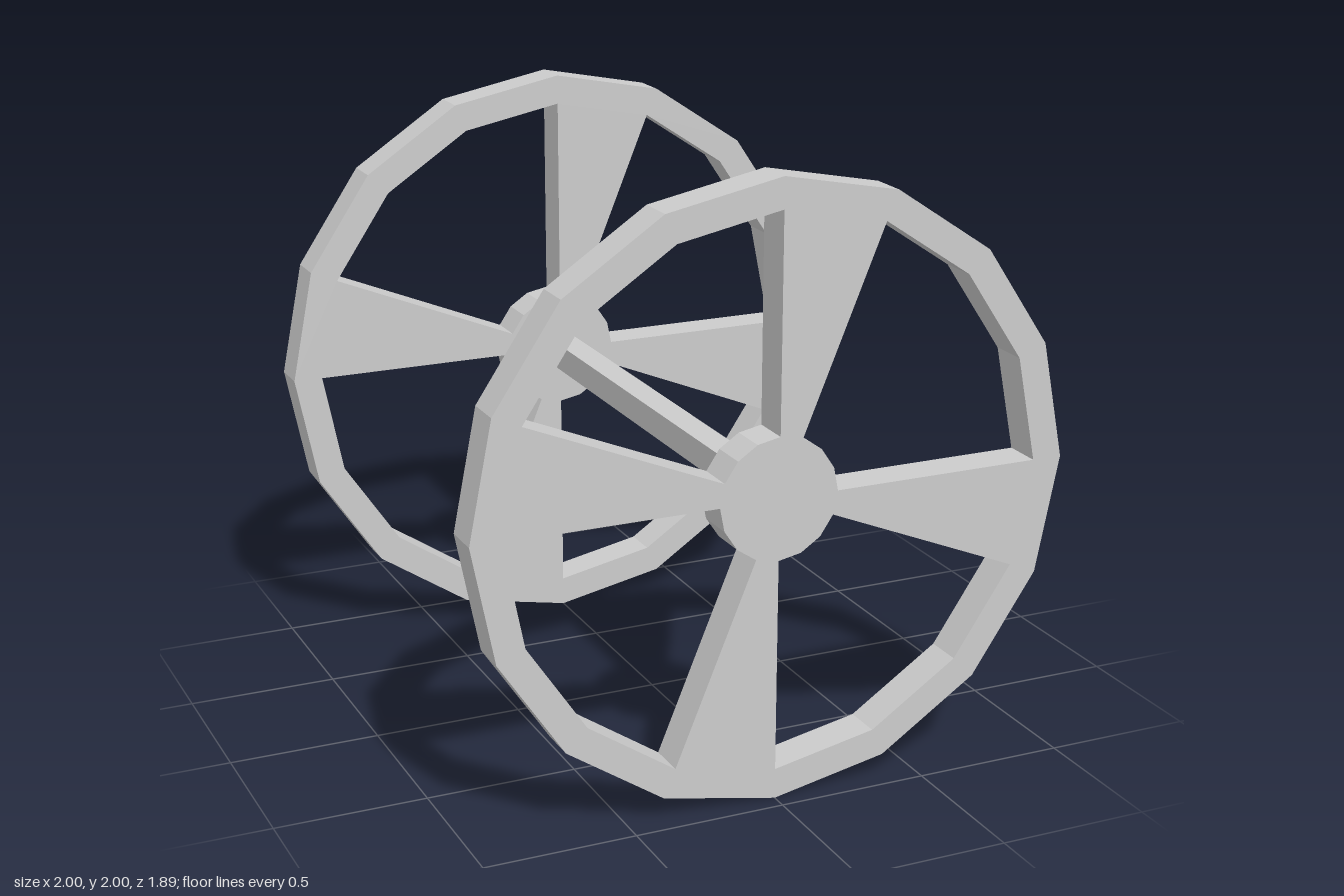
import * as THREE from 'three';

const SIDES = 16, OUTER = 1, INNER = 0.9, HUB = 0.2;
const THICK = 0.13, WHEEL_Z = 0.88, AXLE = 0.092;

// Point on a 16-sided ring, counted anticlockwise from +x
function ringPoint(radius, i) {
  const a = (i / SIDES) * Math.PI * 2;
  return new THREE.Vector2(Math.cos(a) * radius, Math.sin(a) * radius);
}

// Rim, four wedge spokes and hub as one plate with four windows
function wheelGeometry() {
  const outline = [];
  for (let i = 0; i < SIDES; i++) outline.push(ringPoint(OUTER, i));
  const shape = new THREE.Shape(outline);
  for (let q = 0; q < 4; q++) {
    const hole = [];
    for (let i = 0; i <= 3; i++) hole.push(ringPoint(INNER, q * 4 + i));
    for (let i = 3; i >= 0; i--) hole.push(ringPoint(HUB, q * 4 + i));
    shape.holes.push(new THREE.Path(hole));
  }
  return new THREE.ExtrudeGeometry(shape, { depth: THICK, bevelEnabled: false })
    .translate(0, 0, -THICK / 2);
}

export function createModel() {
  const model = new THREE.Group();
  model.name = 'wheelPair';
  const material = new THREE.MeshStandardMaterial({ color: 0xcccccc, flatShading: true });

  // Matching wheels at both ends
  const geometry = wheelGeometry();
  for (const [name, side] of [['frontWheel', 1], ['backWheel', -1]]) {
    const wheel = new THREE.Mesh(geometry, material);
    wheel.name = name;
    wheel.position.set(0, 1, side * WHEEL_Z);
    model.add(wheel);
  }

  // Square axle between the hubs
  const axle = new THREE.Mesh(
    new THREE.BoxGeometry(AXLE, AXLE, 2 * WHEEL_Z - THICK), material);
  axle.name = 'axle';
  axle.position.y = 1;
  model.add(axle);

  return model;
}
